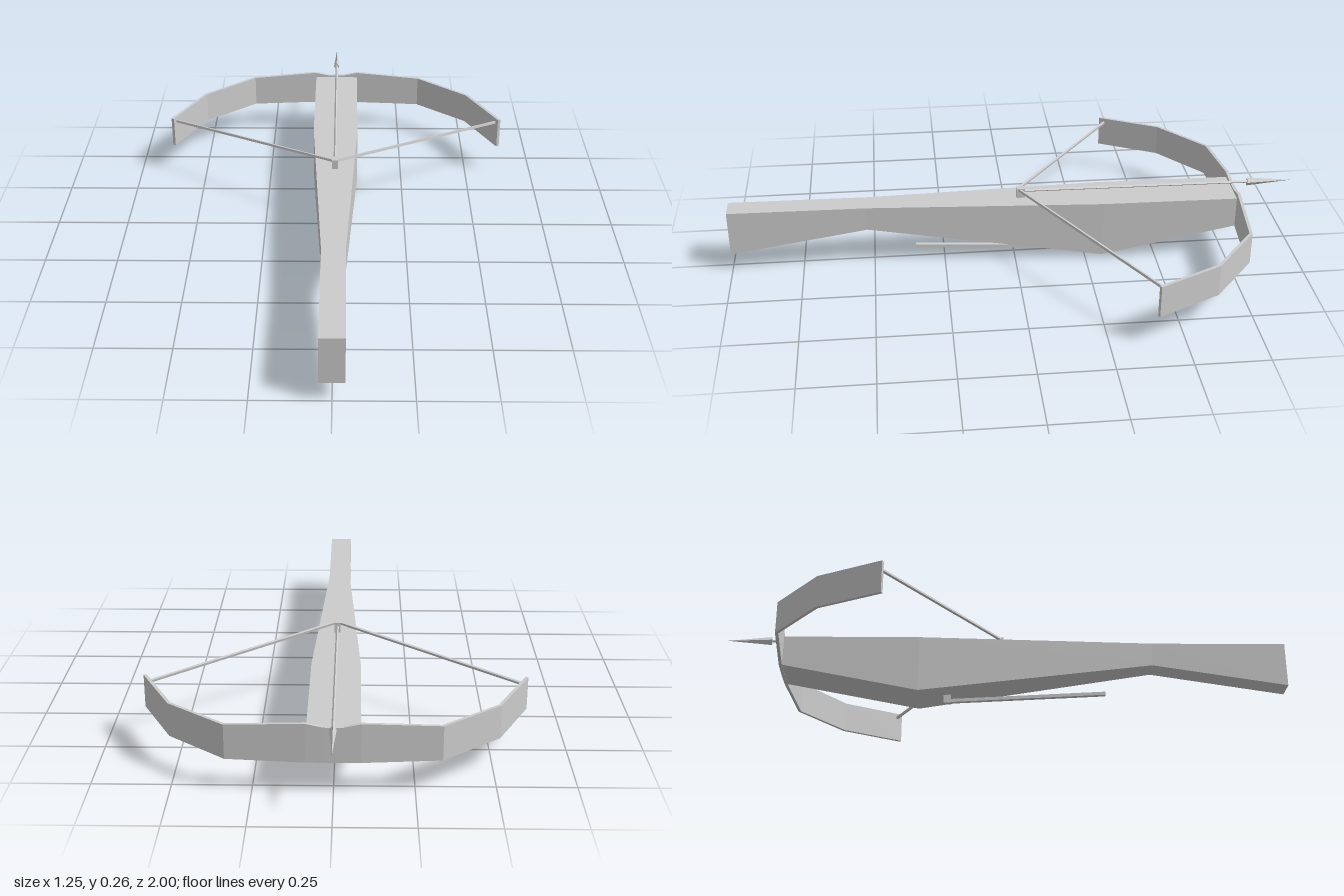
import * as THREE from 'three';

const material = new THREE.MeshStandardMaterial({ color: 0xcccccc, flatShading: true });

function addMesh(parent, name, geometry) {
  const mesh = new THREE.Mesh(geometry, material);
  mesh.name = name;
  parent.add(mesh);
  return mesh;
}

// Skins a row of four-cornered rings and caps both ends.
// Corners run counterclockwise as seen looking back along the row.
function loft(rings) {
  const index = [];
  const quad = (a, b, c, d) => index.push(a, b, c, a, c, d);
  for (let i = 0; i < rings.length - 1; i++) {
    for (let j = 0; j < 4; j++) {
      const k = (j + 1) % 4;
      quad(i * 4 + j, i * 4 + k, i * 4 + 4 + k, i * 4 + 4 + j);
    }
  }
  const e = (rings.length - 1) * 4;
  quad(3, 2, 1, 0);
  quad(e, e + 1, e + 2, e + 3);
  const geometry = new THREE.BufferGeometry();
  geometry.setAttribute('position', new THREE.Float32BufferAttribute(rings.flat(2), 3));
  geometry.setIndex(index);
  const flat = geometry.toNonIndexed();
  flat.computeVertexNormals();
  return flat;
}

// Straight rod between two points; r1 is the radius at the far end.
function rod(parent, name, from, to, r0, r1 = r0) {
  const a = new THREE.Vector3(...from);
  const b = new THREE.Vector3(...to);
  const dir = b.clone().sub(a);
  const mesh = addMesh(parent, name, new THREE.CylinderGeometry(r1, r0, dir.length(), 4));
  mesh.position.copy(a).add(b).multiplyScalar(0.5);
  mesh.quaternion.setFromUnitVectors(new THREE.Vector3(0, 1, 0), dir.normalize());
  return mesh;
}

function box(parent, name, size, position) {
  const mesh = addMesh(parent, name, new THREE.BoxGeometry(...size));
  mesh.position.set(...position);
  return mesh;
}

export function createModel() {
  const model = new THREE.Group();
  model.name = 'crossbow';

  // Stock: z, half width, bottom, top from muzzle to butt
  const stock = [
    [-0.79, 0.082, 0.106, 0.215],
    [-0.31, 0.082, 0.014, 0.219],
    [0.52, 0.04, 0.139, 0.225],
    [1, 0.04, 0.067, 0.229],
  ];
  addMesh(model, 'stock', loft(stock.map(([z, w, lo, hi]) =>
    [[-w, lo, z], [w, lo, z], [w, hi, z], [-w, hi, z]])));

  // Bow limbs: half outline as x, z, top, then mirrored
  const half = [
    [0.03, -0.792, 0.222],
    [0.085, -0.791, 0.234],
    [0.33, -0.771, 0.219],
    [0.515, -0.62, 0.217],
    [0.622, -0.405, 0.217],
  ];
  const bow = [...half.map(([x, z, t]) => [-x, z, t]).reverse(), ...half];
  const thickness = 0.011;
  addMesh(model, 'bow', loft(bow.map(([x, z, top], i) => {
    const p = bow[Math.max(i - 1, 0)];
    const n = bow[Math.min(i + 1, bow.length - 1)];
    const side = new THREE.Vector2(n[1] - p[1], p[0] - n[0]).normalize().multiplyScalar(thickness / 2);
    const [ox, oz] = [x + side.x, z + side.y];
    const [ix, iz] = [x - side.x, z - side.y];
    return [[ox, 0.104, oz], [ox, top, oz], [ix, top, iz], [ix, 0.104, iz]];
  })));

  // Bowstring and the nut that holds it
  for (const s of [-1, 1]) {
    rod(model, s > 0 ? 'leftString' : 'rightString', [s * 0.615, 0.199, -0.425], [0, 0.251, -0.014], 0.006);
  }
  box(model, 'stringNut', [0.022, 0.038, 0.03], [0, 0.237, -0.024]);

  // Bolt with a narrow, upright head
  rod(model, 'boltShaft', [0, 0.244, -0.01], [0, 0.237, -0.86], 0.005);
  rod(model, 'boltHead', [0, 0.237, -0.84], [0, 0.236, -1], 0.016, 0).scale.x = 0.7;

  // Trigger lever under the stock
  box(model, 'triggerPost', [0.018, 0.042, 0.026], [0, 0.021, -0.208]);
  const lever = box(model, 'triggerLever', [0.015, 0.012, 0.57], [0, 0.025, 0.068]);
  lever.rotation.x = -0.063;

  return model;
}
